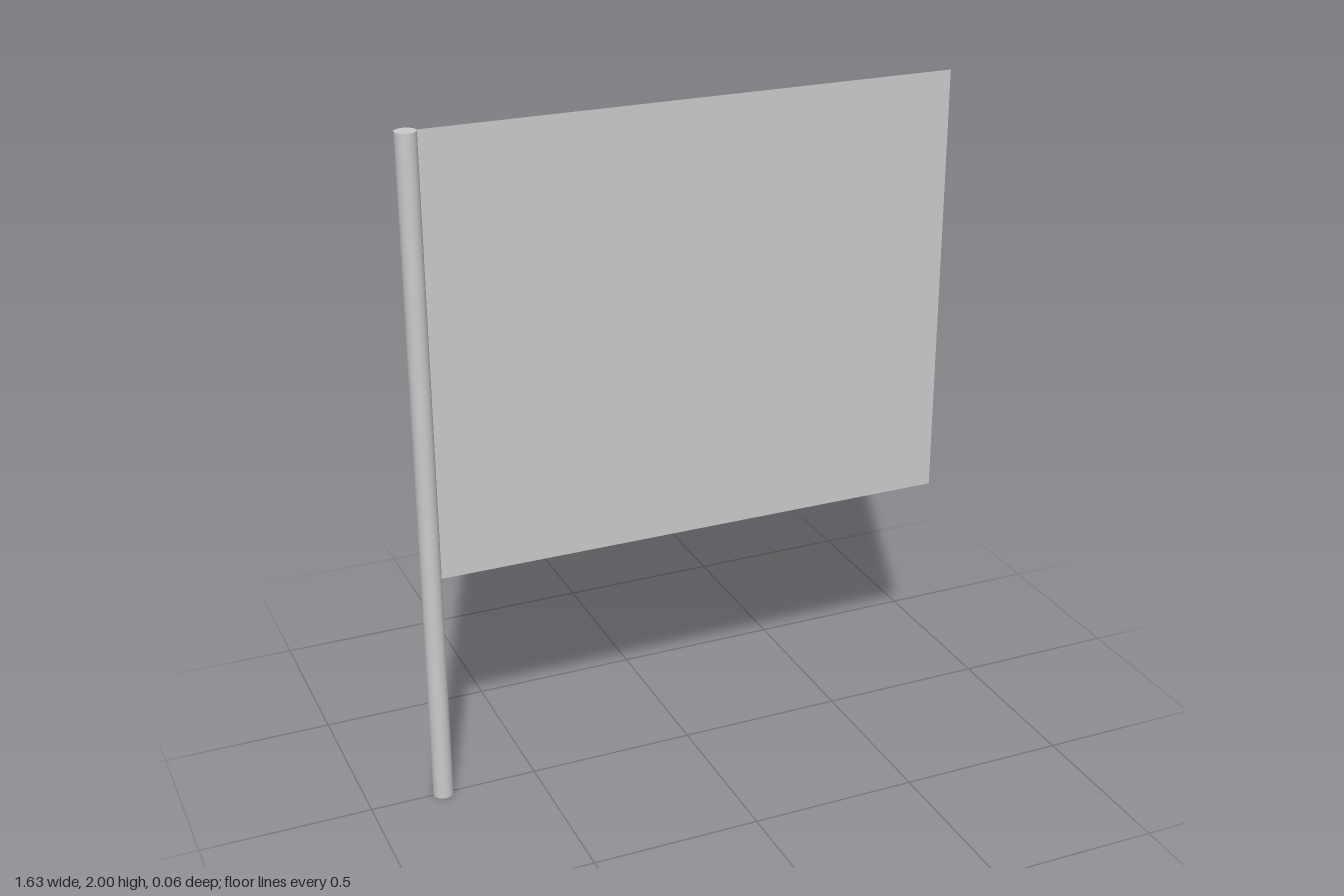
import * as THREE from 'three';

const POLE_RADIUS = 0.03;
const POLE_HEIGHT = 2;
const POLE_X = -0.783;
const FLAG_RIGHT = 0.813;
const FLAG_BOTTOM = 0.705;

export function createModel() {
  const group = new THREE.Group();
  group.name = 'flag';

  // Upright round pole with closed ends
  const pole = new THREE.Mesh(
    new THREE.CylinderGeometry(POLE_RADIUS, POLE_RADIUS, POLE_HEIGHT, 32),
    new THREE.MeshStandardMaterial({ color: 0xcccccc })
  );
  pole.name = 'pole';
  pole.position.set(POLE_X, POLE_HEIGHT / 2, 0);
  group.add(pole);

  // Flat cloth, running from the pole's side and level with its top
  const left = POLE_X + POLE_RADIUS - 0.002;
  const cloth = new THREE.Mesh(
    new THREE.PlaneGeometry(FLAG_RIGHT - left, POLE_HEIGHT - FLAG_BOTTOM),
    new THREE.MeshStandardMaterial({ color: 0xcccccc, side: THREE.DoubleSide })
  );
  cloth.name = 'cloth';
  cloth.position.set((left + FLAG_RIGHT) / 2, (FLAG_BOTTOM + POLE_HEIGHT) / 2, 0);
  group.add(cloth);

  return group;
}
